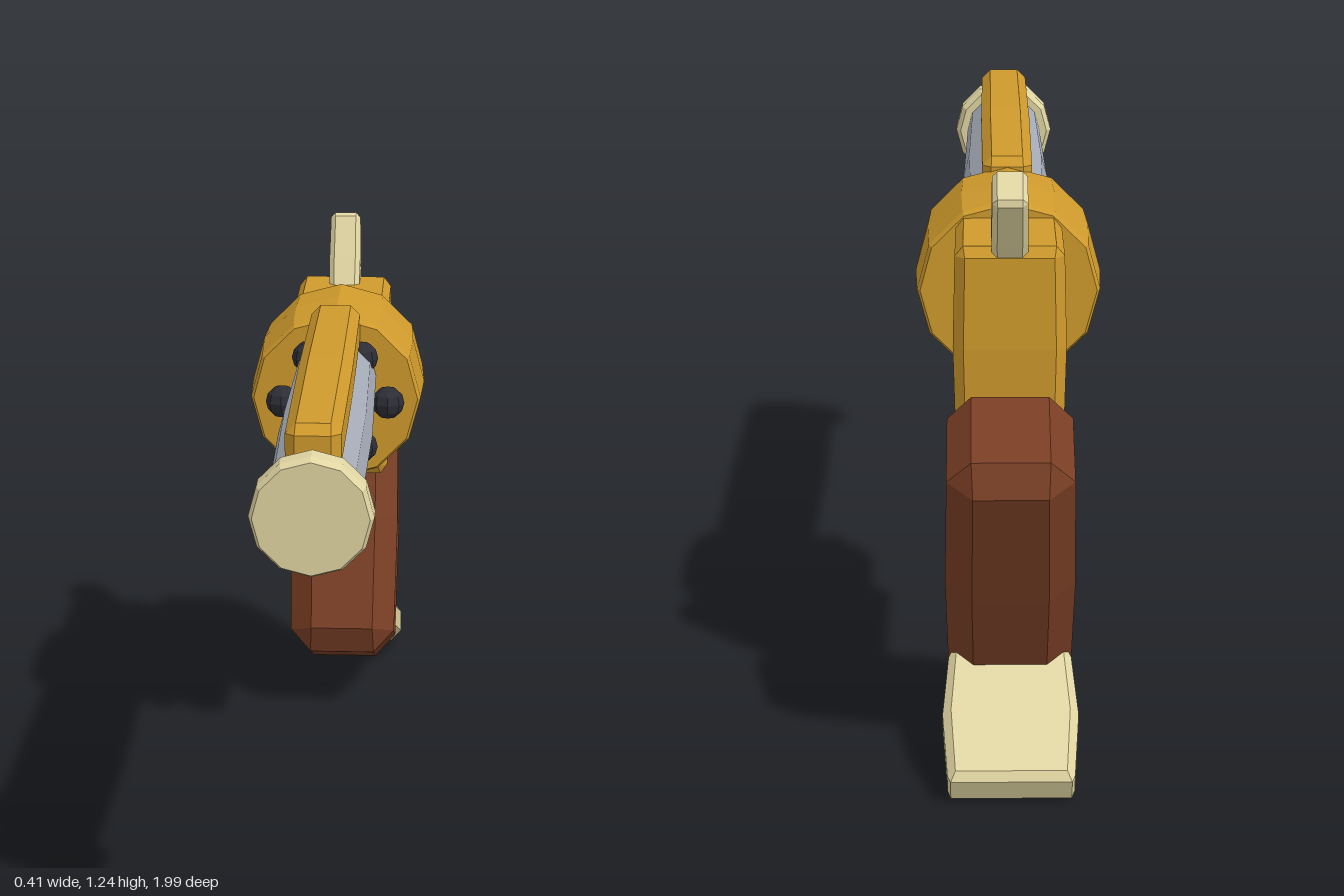
import * as THREE from 'three';
import { ConvexGeometry } from 'three/addons/geometries/ConvexGeometry.js';

function material(name, color) {
  const m = new THREE.MeshStandardMaterial({ color, flatShading: true });
  m.name = name;
  return m;
}

// Chamfered block, long axis along z, ends slightly narrower than the middle
function blockGeometry(hw, hh, hl, bevel, taper = 0.04) {
  const points = [];
  for (const sx of [-1, 1]) for (const sy of [-1, 1]) {
    for (const sz of [-1, 0, 1]) {
      const k = sz === 0 ? 1 : 1 - taper;
      const z = sz * (hl - bevel);
      points.push(new THREE.Vector3(sx * hw * k, sy * (hh - bevel) * k, z));
      points.push(new THREE.Vector3(sx * (hw - bevel) * k, sy * hh * k, z));
    }
    for (const sz of [-1, 1]) {
      points.push(new THREE.Vector3(sx * (hw - bevel), sy * (hh - bevel), sz * hl));
    }
  }
  return new ConvexGeometry(points);
}

// Twelve-sided turned part along z, from [radius, z] pairs ordered back to front
function turnedGeometry(profile) {
  const g = new THREE.LatheGeometry(profile.map(([r, z]) => new THREE.Vector2(r, z)), 12);
  return g.rotateX(Math.PI / 2);
}

export function createModel() {
  const model = new THREE.Group();
  const gold = material('gold', 0xcf9a2c);
  const steel = material('steel', 0xa6acb8);
  const cream = material('cream', 0xe0d5a2);
  const brown = material('brown', 0x7a3f25);
  const dark = material('dark', 0x2d2e36);

  const add = (name, geometry, mat, x, y, z, tilt = 0) => {
    const mesh = new THREE.Mesh(geometry, mat);
    mesh.name = name;
    mesh.position.set(x, y, z);
    mesh.rotation.x = tilt;
    model.add(mesh);
    return mesh;
  };

  // Barrel, muzzle cap and top rib
  add('barrel', turnedGeometry([[0, -0.1], [0.093, -0.1], [0.101, 0.42], [0.093, 0.94], [0, 0.94]]),
    steel, 0, 0.995, 0);
  add('muzzleCap', turnedGeometry([[0, 0.92], [0.112, 0.92], [0.123, 0.938], [0.123, 0.982], [0.115, 1], [0, 1]]),
    cream, 0, 0.993, 0);
  add('topRib', blockGeometry(0.058, 0.052, 0.512, 0.022), gold, 0, 1.109, 0.412);

  // Rotating drum with six round tips
  add('drum', turnedGeometry([[0, -0.405], [0.19, -0.405], [0.197, -0.39], [0.203, -0.237],
    [0.197, -0.085], [0.19, -0.07], [0, -0.07]]), gold, 0, 0.94, 0);
  const tip = new THREE.SphereGeometry(0.038, 8, 6);
  for (let i = 0; i < 6; i++) {
    const a = i * Math.PI / 3;
    add('drumTip', tip, dark, 0.122 * Math.cos(a), 0.94 + 0.122 * Math.sin(a), -0.04);
  }

  // Frame and hammer
  add('frame', blockGeometry(0.118, 0.157, 0.215, 0.022), gold, 0, 0.885, -0.498, Math.PI / 2);
  add('hammer', blockGeometry(0.038, 0.053, 0.12, 0.012), cream, 0, 1.135, -0.62, 1.04);

  // Trigger and its guard
  add('guardPost', blockGeometry(0.04, 0.026, 0.13, 0.012), dark, 0, 0.66, -0.166, Math.PI / 2);
  add('guardBar', blockGeometry(0.04, 0.027, 0.23, 0.012), dark, 0, 0.553, -0.37);
  add('trigger', blockGeometry(0.032, 0.025, 0.075, 0.012), dark, 0, 0.66, -0.374, Math.PI / 2 - 0.12);

  // Grip and heel plate
  add('grip', blockGeometry(0.136, 0.155, 0.341, 0.056), brown, 0, 0.447, -0.66, 1.16);
  add('heelPlate', blockGeometry(0.142, 0.044, 0.178, 0.018, 0.08), cream, 0, 0.118, -0.816, -0.432);

  return model;
}
